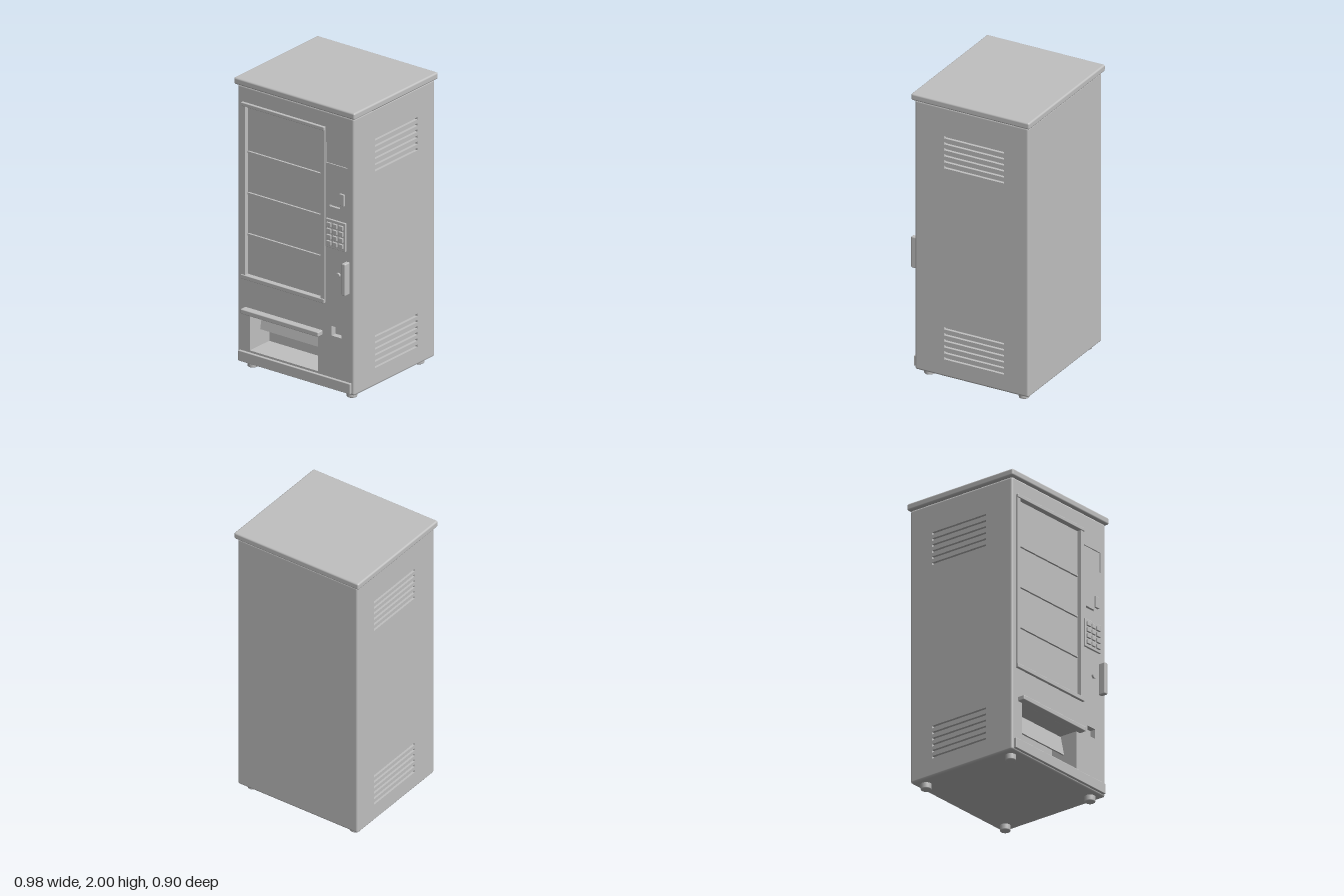
import * as THREE from 'three';
import { RoundedBoxGeometry } from 'three/addons/geometries/RoundedBoxGeometry.js';

const FRONT = 0.402, BACK = -0.432, HX = 0.471, Y0 = 0.04, Y1 = 1.953, R = 0.015;
const CY = (Y0 + Y1) / 2, CZ = (FRONT + BACK) / 2, H = Y1 - Y0, D = FRONT - BACK;

export function createModel() {
  const model = new THREE.Group();
  model.name = 'vendingMachine';
  const grey = new THREE.MeshStandardMaterial({ color: 0xc0c0c0 });
  grey.name = 'plain grey';

  function add(name, geometry, x = 0, y = 0, z = 0, parent = model) {
    const mesh = new THREE.Mesh(geometry, grey);
    mesh.name = name;
    mesh.position.set(x, y, z);
    parent.add(mesh);
    return mesh;
  }

  // Box given by its limits, with optionally rounded edges
  function block(name, x0, x1, y0, y1, z0, z1, r = 0) {
    const s = [x1 - x0, y1 - y0, z1 - z0];
    const g = r ? new RoundedBoxGeometry(...s, 2, r) : new THREE.BoxGeometry(...s);
    return add(name, g, (x0 + x1) / 2, (y0 + y1) / 2, (z0 + z1) / 2);
  }

  // Inward-facing box without its front face: the lining of a recess
  function liningGeometry(w, h, d) {
    const g = new THREE.BoxGeometry(w, h, d);
    const index = Array.from(g.index.array);
    index.splice(24, 6);
    g.setIndex(index.reverse());
    g.clearGroups();
    const n = g.attributes.normal;
    for (let i = 0; i < n.count; i++) n.setXYZ(i, -n.getX(i), -n.getY(i), -n.getZ(i));
    return g;
  }

  function rectPath(path, x0, x1, y0, y1) {
    path.moveTo(x0, y0);
    path.lineTo(x1, y0);
    path.lineTo(x1, y1);
    path.lineTo(x0, y1);
    path.closePath();
    return path;
  }

  // Flat panel facing +z with lined recesses { name, r: [x0, x1, y0, y1], d }
  function panel(name, x0, x1, recesses) {
    const group = new THREE.Group();
    group.name = name;
    const shape = rectPath(new THREE.Shape(), x0, x1, Y0 + R, Y1 - R);
    for (const { name: part, r, d } of recesses) {
      shape.holes.push(rectPath(new THREE.Path(), ...r));
      add(part, liningGeometry(r[1] - r[0], r[3] - r[2], d),
        (r[0] + r[1]) / 2, (r[2] + r[3]) / 2, -d / 2, group);
    }
    add(name + 'Sheet', new THREE.ShapeGeometry(shape), 0, 0, 0, group);
    model.add(group);
    return group;
  }

  // Cabinet shell: rounded box with the flat front and side faces left open
  const box = new RoundedBoxGeometry(HX * 2, H, D, 3, R);
  const pos = box.attributes.position, nor = box.attributes.normal;
  const p = [], n = [];
  for (let i = 0; i < pos.count; i += 3) {
    const tri = [i, i + 1, i + 2];
    const open = tri.every(k => nor.getZ(k) > 0.999) || tri.every(k => Math.abs(nor.getX(k)) > 0.999);
    if (open) continue;
    for (const k of tri) {
      p.push(pos.getX(k), pos.getY(k), pos.getZ(k));
      n.push(nor.getX(k), nor.getY(k), nor.getZ(k));
    }
  }
  const shell = new THREE.BufferGeometry();
  shell.setAttribute('position', new THREE.Float32BufferAttribute(p, 3));
  shell.setAttribute('normal', new THREE.Float32BufferAttribute(n, 3));
  add('cabinetShell', shell, 0, CY, CZ);

  // Front panel with its openings
  panel('frontPanel', -HX + R, HX - R, [
    { name: 'displayWindow', r: [-0.4, 0.209, 0.654, 1.818], d: 0.018 },
    { name: 'screen', r: [0.243, 0.42, 1.597, 1.737], d: 0.008 },
    { name: 'noteSlot', r: [0.275, 0.357, 1.302, 1.315], d: 0.02 },
    { name: 'coinReturn', r: [0.291, 0.368, 0.413, 0.48], d: 0.04 },
    { name: 'deliveryBin', r: [-0.37, 0.18, 0.138, 0.4], d: 0.2 },
  ]).position.z = FRONT;

  // Side panels with two banks of vent slots
  for (const side of [1, -1]) {
    const vents = [];
    for (const base of [0.172, 1.529]) {
      for (let i = 0; i < 6; i++) {
        const y = base + i * 0.0425, c = side * 0.033;
        vents.push({ name: 'ventSlot', r: [c - 0.221, c + 0.221, y - 0.009, y + 0.009], d: 0.02 });
      }
    }
    const sheet = panel(side > 0 ? 'leftPanel' : 'rightPanel',
      side * CZ * -1 - D / 2 + R, side * CZ * -1 + D / 2 - R, vents);
    sheet.position.x = side * HX;
    sheet.rotation.y = side * Math.PI / 2;
  }

  // Lid and feet
  block('lid', -0.488, 0.488, 1.953, 2, -0.447, 0.42, 0.012);
  const footProfile = [[0, 0], [0.028, 0], [0.033, 0.003], [0.035, 0.008], [0.035, 0.045]]
    .map(([x, y]) => new THREE.Vector2(x, y));
  for (const x of [-0.4, 0.4]) {
    for (const z of [0.333, -0.36]) add('foot', new THREE.LatheGeometry(footProfile, 24), x, 0, z);
  }

  // Window frame and shelf edges
  block('frameTop', -0.431, 0.241, 1.818, 1.842, 0.39, 0.42, 0.004);
  block('frameBottom', -0.431, 0.241, 0.625, 0.654, 0.39, 0.42, 0.004);
  block('frameSide', -0.431, -0.4, 0.65, 1.822, 0.39, 0.413);
  block('frameSide', 0.209, 0.241, 0.65, 1.822, 0.39, 0.413);
  for (const y of [0.932, 1.215, 1.5]) block('shelf', -0.392, 0.201, y - 0.006, y + 0.006, 0.38, 0.398);

  // Keypad
  block('keypadPlate', 0.251, 0.41, 1.022, 1.218, 0.39, 0.415, 0.003);
  for (let row = 0; row < 4; row++) {
    for (let col = 0; col < 3; col++) {
      const x = 0.282 + col * 0.048, y = 1.057 + row * 0.042;
      block('key', x - 0.018, x + 0.018, y - 0.015, y + 0.015, 0.41, 0.426, 0.003);
    }
  }

  // Coin slot, lock and door handle
  block('coinSlot', 0.36, 0.397, 1.332, 1.413, 0.39, 0.414, 0.003);
  add('lock', new THREE.CylinderGeometry(0.016, 0.016, 0.03, 24), 0.347, 0.845, 0.4).rotation.x = Math.PI / 2;
  block('handle', 0.405, 0.436, 0.734, 0.956, 0.398, 0.45, 0.008);

  // Delivery canopy, tilted flap and kick plate
  block('binCanopy', -0.41, 0.217, 0.397, 0.43, 0.39, 0.45, 0.006);
  const flap = block('binFlap', -0.36, 0.169, 0.254, 0.39, 0.285, 0.295);
  flap.rotation.x = -0.2;
  block('kickPlate', -0.452, 0.452, 0.053, 0.124, 0.39, 0.42, 0.004);

  return model;
}
